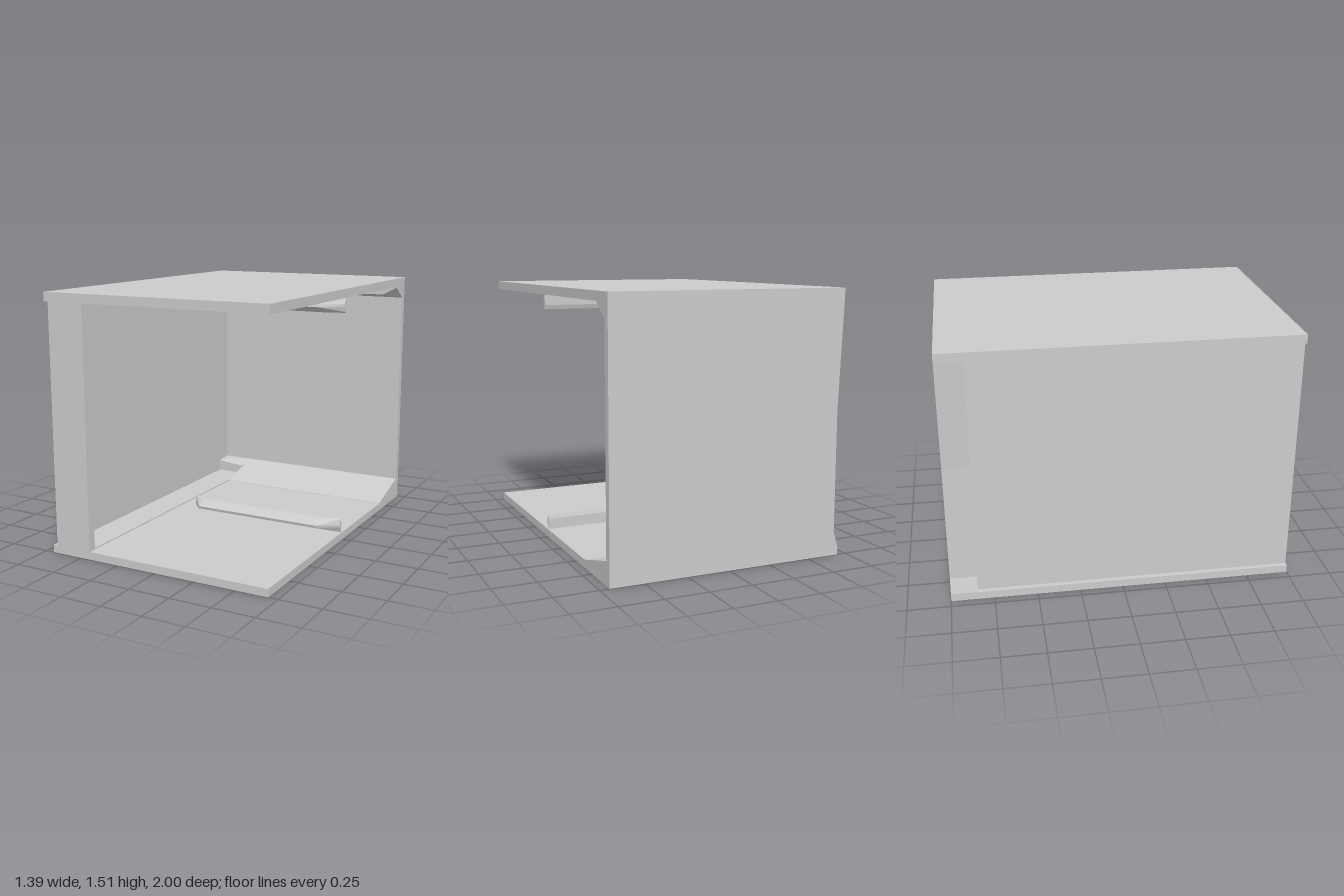
import * as THREE from 'three';
import { ConvexGeometry } from 'three/addons/geometries/ConvexGeometry.js';

const material = new THREE.MeshStandardMaterial({ color: 0xcccccc, flatShading: true });

export function createModel() {
  const group = new THREE.Group();

  const add = (name, geometry) => {
    const mesh = new THREE.Mesh(geometry, material);
    mesh.name = name;
    group.add(mesh);
  };

  // Box given by its lower and upper limits on each axis
  const box = (name, [x0, x1], [y0, y1], [z0, z1]) => {
    const g = new THREE.BoxGeometry(x1 - x0, y1 - y0, z1 - z0);
    g.translate((x0 + x1) / 2, (y0 + y1) / 2, (z0 + z1) / 2);
    add(name, g);
  };

  // Convex solid from its corners
  const solid = (name, corners) =>
    add(name, new ConvexGeometry(corners.map((c) => new THREE.Vector3(...c))));

  // Main shell: floor, ceiling, back wall and recessed side wall
  const L = -0.698, R = 0.695, H = 1.51;
  box('floor', [L, R], [0, 0.046], [-1, 1]);
  box('ceiling', [L, R], [1.458, H], [-1, 1]);
  box('backWall', [-0.67, R], [0.046, 1.458], [-1, -0.955]);
  box('sideWall', [-0.67, -0.63], [0.046, 1.458], [-0.955, 0.955]);
  box('frontColumn', [-0.67, -0.44], [0.046, 1.458], [0.95, 1]);

  // Slightly raised strips beside the side wall
  box('floorStrip', [-0.63, -0.44], [0.046, 0.053], [-0.955, 0.95]);
  box('ceilingStrip', [-0.63, -0.44], [1.451, 1.458], [-0.955, 0.95]);

  // Tapering bulges on the outside of the rear side edge
  for (const [name, yWide, yThin] of [
    ['upperSideBulge', 1.458, 0.835],
    ['lowerSideBulge', 0.046, 0.135],
  ]) {
    const corners = [];
    for (const z of [-1, -0.845]) {
      corners.push([L, yWide, z], [-0.65, yWide, z], [-0.67, yThin, z], [-0.65, yThin, z]);
    }
    solid(name, corners);
  }

  // Ramp where the floor meets the back wall
  const ramp = [];
  for (const x of [-0.44, R]) {
    ramp.push([x, 0.04, -0.64], [x, 0.048, -0.64], [x, 0.135, -0.956], [x, 0.04, -0.956]);
  }
  solid('floorRamp', ramp);

  // Block filling the corner beside the ramp
  solid('cornerBlock', [
    [-0.64, 0.04, -0.845], [-0.64, 0.125, -0.845], [-0.64, 0.135, -0.956], [-0.64, 0.04, -0.956],
    [-0.44, 0.04, -0.845], [-0.44, 0.106, -0.845], [-0.44, 0.135, -0.956], [-0.44, 0.04, -0.956],
  ]);

  // Brace where the ceiling meets the back wall, chamfered at its open end
  const brace = [];
  for (const [x, yFront] of [[-0.64, 1.403], [0.6, 1.403], [R, 1.452]]) {
    brace.push([x, 1.46, -0.845], [x, yFront, -0.845], [x, 1.378, -0.956], [x, 1.46, -0.956]);
  }
  solid('ceilingBrace', brace);

  // Overhanging rails on floor and ceiling; the nose pulls back at both ends
  const railProfile = [[0.01, 0.046], [0.01, 0.11], [0.05, 0.135], [0.075, 0.13], [0.12, 0.1], [0.115, 0.083]];
  const railSections = [[-0.31, 0.25], [-0.24, 1], [0.57, 1], [0.69, 0.2]];
  for (const [name, flip] of [['floorRail', false], ['ceilingRail', true]]) {
    const corners = [];
    for (const [x, reach] of railSections) {
      for (const [z, y] of railProfile) {
        corners.push([x, flip ? 1.506 - y : y, 0.01 + (z - 0.01) * reach]);
      }
    }
    solid(name, corners);
  }

  return group;
}
